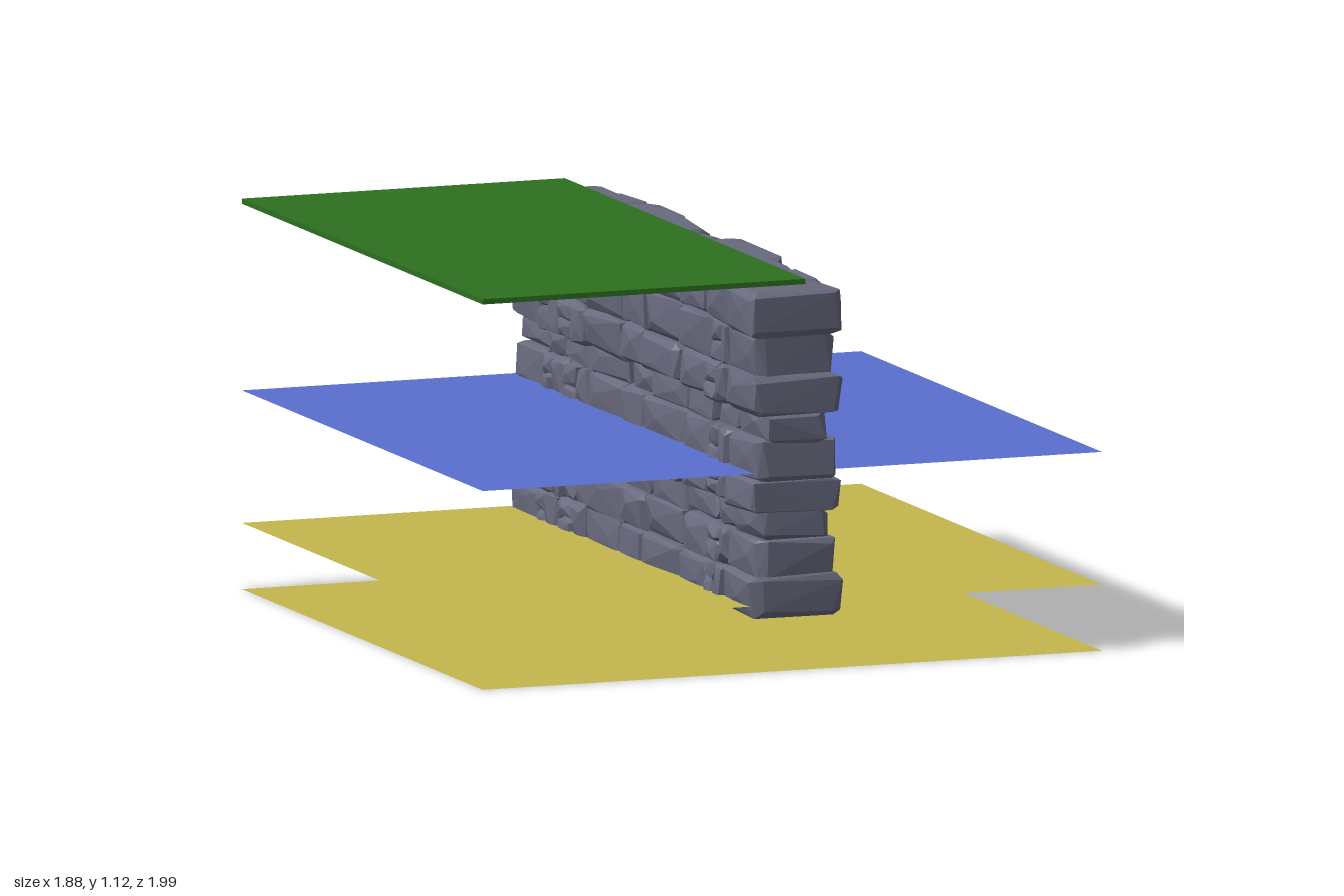
import * as THREE from 'three';
import { ConvexGeometry } from 'three/addons/geometries/ConvexGeometry.js';

const stoneMat = new THREE.MeshStandardMaterial({ color: 0x686a7e, flatShading: true });

// Small seeded generator
let seed = 11;
function rand(a = 0, b = 1) {
  seed = (seed * 16807) % 2147483647;
  return a + (b - a) * (seed / 2147483647);
}

// Hewn block: each corner of the box is cut into three points, pushed inwards unevenly
function stone(name, x0, x1, y0, y1, z0, z1) {
  const min = [x0, y0, z0], max = [x1, y1, z1];
  const rough = [0.018, 0.009, 0.009];
  const pts = [];
  for (let corner = 0; corner < 8; corner++) {
    const sign = [0, 1, 2].map(a => (corner >> a & 1 ? 1 : -1));
    for (let face = 0; face < 3; face++) {
      const p = [0, 1, 2].map(a => {
        const size = max[a] - min[a];
        const cut = a === face ? rand(0, rough[a])
          : Math.min(size * 0.25, rand(0.008, a === 0 ? 0.045 : 0.026));
        return sign[a] > 0 ? max[a] - cut : min[a] + cut;
      });
      pts.push(new THREE.Vector3(...p));
    }
  }
  // A ridge point on both broad faces
  for (const x of [x0, x1]) {
    pts.push(new THREE.Vector3(x, y0 + (y1 - y0) * rand(0.3, 0.7), z0 + (z1 - z0) * rand(0.25, 0.75)));
  }
  const mesh = new THREE.Mesh(new ConvexGeometry(pts), stoneMat);
  mesh.name = name;
  return mesh;
}

function buildWall() {
  const wall = new THREE.Group();
  wall.name = 'stoneWall';

  // Courses: bottom, top, inset from both broad sides
  const courses = [
    [0.155, 0.28, 0], [0.265, 0.385, 0.012], [0.37, 0.47, 0.03],
    [0.45, 0.555, 0], [0.54, 0.67, 0.012], [0.655, 0.75, 0.035],
    [0.735, 0.855, 0], [0.84, 0.975, 0.012],
  ];
  const columns = [0.99, 0.75, 0.6, 0.38, 0.09, -0.085, -0.365, -0.55, -0.71, -0.955];
  const reach = [0.15, 0.18, 0.18, 0.21, 0.18, 0.185, 0.205, 0.185, 0.165];
  const split = [false, true, false, false, false, false, true, true, false];

  courses.forEach(([y0, y1, inset], row) => {
    for (let c = 0; c < 9; c++) {
      const shift = i => (i === 0 || i === 9 ? -Math.sign(columns[i]) * rand(0, 0.02)
        : i === 3 ? 0 : rand(-0.018, 0.018));
      const za = columns[c] + shift(c) + (c > 0 && c !== 3 ? 0.008 : -0.002);
      const zb = columns[c + 1] + shift(c + 1) - (c < 8 && c !== 2 ? 0.008 : -0.002);
      const xb = -0.145 + inset + rand(0, 0.015);
      const xf = reach[c] - inset - rand(0, 0.015);
      const dy = row === 0 ? 0 : rand(-0.008, 0.006);
      if (split[c] && y1 - y0 > 0.1) {
        // Smaller rubble: a tall piece beside two stacked pieces
        const zm = za + (zb - za) * rand(0.38, 0.62);
        const ym = y0 + (y1 - y0) * rand(0.4, 0.6);
        wall.add(stone('rubbleTall', xb, xf, y0 + dy, y1, zm - 0.004, za));
        wall.add(stone('rubbleLow', xb, xf - rand(0.005, 0.03), y0 + dy, ym + 0.006, zb, zm + 0.004));
        wall.add(stone('rubbleHigh', xb, xf - rand(0.005, 0.03), ym - 0.006, y1, zb, zm + 0.004));
      } else {
        wall.add(stone('wallStone', xb, xf, y0 + dy, y1, zb, za));
      }
    }
  });

  // Capstones
  const caps = [1, 0.78, 0.6, 0.385, 0.03, -0.12, -0.36, -0.62, -0.77, -0.995];
  const capReach = [0.14, 0.16, 0.16, 0.205, 0.17, 0.18, 0.205, 0.18, 0.17];
  for (let c = 0; c < 9; c++) {
    const drop = rand(0, 0.012);
    wall.add(stone('capStone', -0.155 + rand(0, 0.03), capReach[c],
      0.955 + drop, 1.1 - rand(0, 0.01), caps[c + 1] - (c < 8 ? 0.004 : 0), caps[c] + (c > 0 ? 0.004 : 0)));
  }
  return wall;
}

// Thin horizontal sheet spanning the whole footprint
function sheet(name, color, y) {
  const mesh = new THREE.Mesh(
    new THREE.PlaneGeometry(1.88, 1.88).rotateX(-Math.PI / 2),
    new THREE.MeshStandardMaterial({ color, side: THREE.DoubleSide }));
  mesh.position.set(0, y, 0.01);
  mesh.name = name;
  return mesh;
}

export function createModel() {
  seed = 11;
  const model = new THREE.Group();
  model.name = 'wallWithWater';
  model.add(buildWall());

  // Grass slab reaching over one side of the wall
  const grass = new THREE.Mesh(
    new THREE.BoxGeometry(0.98, 0.015, 1.88),
    new THREE.MeshStandardMaterial({ color: 0x2d7020 }));
  grass.position.set(-0.45, 1.1125, 0.01);
  grass.name = 'grassSlab';
  model.add(grass);

  // Water surface above two sand beds
  model.add(sheet('waterSurface', 0x5a6fd0, 0.57));
  model.add(sheet('upperSandBed', 0xc4b84e, 0.19));
  model.add(sheet('lowerSandBed', 0xc4b84e, 0));
  return model;
}
